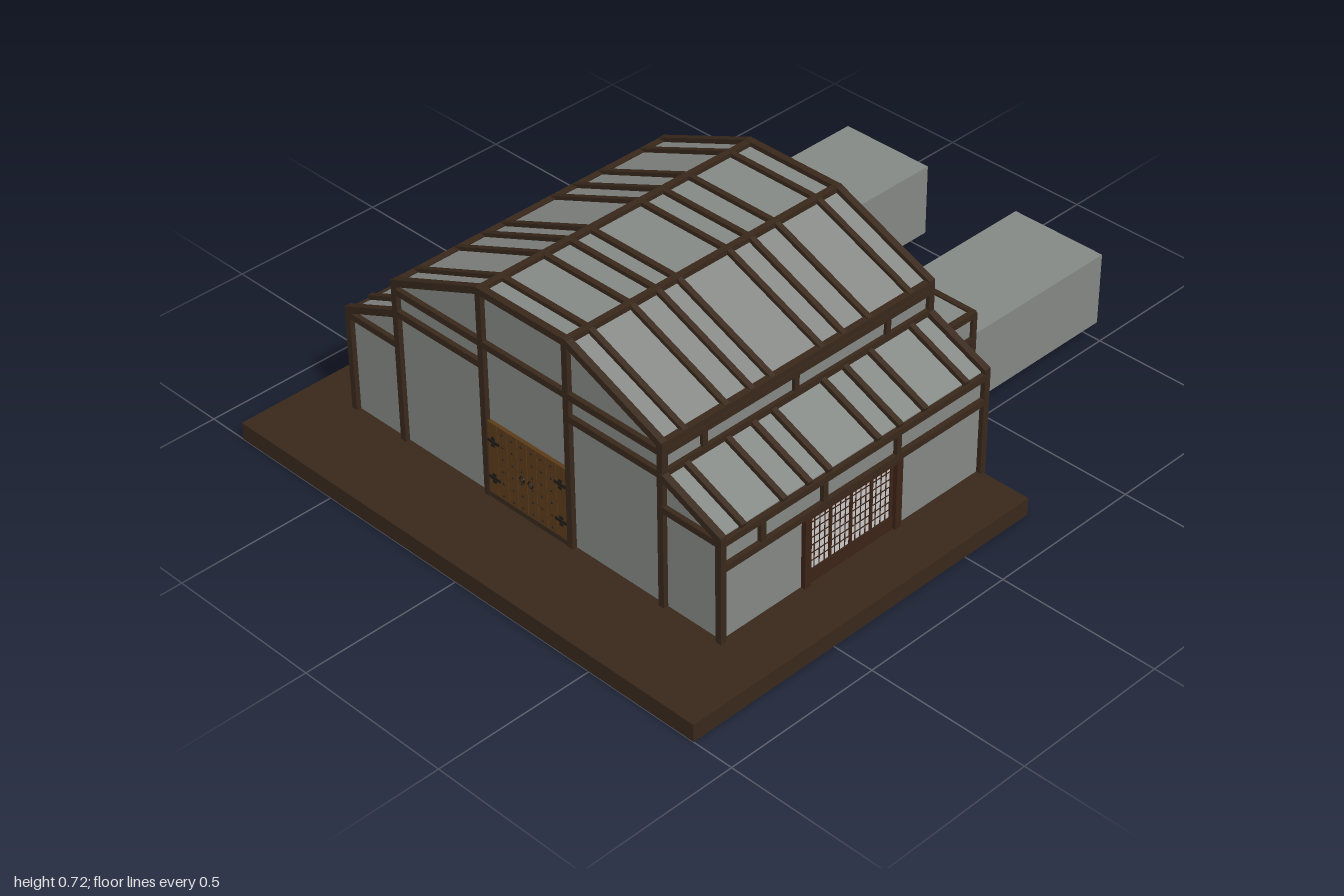
import * as THREE from 'three';

const mat = (color) => new THREE.MeshStandardMaterial({ color, flatShading: true, roughness: 0.9 });

export function createModel() {
  const root = new THREE.Group();
  const wood = mat(0x3a291c), plaster = mat(0x868a86), door = mat(0x5c3c1a);
  const frameWood = mat(0x3d2418), paper = mat(0xd8d4d4), iron = mat(0x1e1a17);
  const BASE = 0.055, FRONT = 0.733, BACK = -0.25;

  const group = (name) => {
    const g = new THREE.Group();
    g.name = name;
    root.add(g);
    return g;
  };
  // Box given by its two opposite corners
  const block = (parent, name, a, b, material) => {
    const size = a.map((v, i) => Math.abs(b[i] - v));
    const m = new THREE.Mesh(new THREE.BoxGeometry(...size), material);
    m.position.set(...a.map((v, i) => (v + b[i]) / 2));
    m.name = name;
    parent.add(m);
    return m;
  };
  // Square timber between two points
  const X = new THREE.Vector3(1, 0, 0);
  const beam = (parent, name, a, b, w = 0.02, material = wood) => {
    const p = new THREE.Vector3(...a), d = new THREE.Vector3(...b).sub(p);
    const m = new THREE.Mesh(new THREE.BoxGeometry(d.length() + w * 0.5, w, w), material);
    m.position.copy(p).addScaledVector(d, 0.5);
    m.quaternion.setFromUnitVectors(X, d.normalize());
    m.name = name;
    parent.add(m);
    return m;
  };
  const extrude = (parent, name, pts, depth, material) => {
    const shape = new THREE.Shape(pts.map(([x, y]) => new THREE.Vector2(x, y)));
    const m = new THREE.Mesh(new THREE.ExtrudeGeometry(shape, { depth, bevelEnabled: false }), material);
    m.name = name;
    parent.add(m);
    return m;
  };
  const mirrored = (half) => [...half, ...half.map(([x, y]) => [-x, y]).reverse()];

  // Platform, with a tongue under each rear annex
  const plan = mirrored([[0.87, -1], [0.87, 0.25], [0.5, 0.25], [0.5, 0.43], [0.16, 0.43], [0.16, 0.345]]);
  const platform = extrude(root, 'platform', plan, BASE, wood);
  platform.rotation.x = -Math.PI / 2;

  // Hall walls and stepped roof
  const section = mirrored([
    [0.695, BASE], [0.695, 0.383], [0.495, 0.468], [0.495, 0.568], [0.163, 0.705],
  ]);
  const hall = extrude(root, 'hallBody', section, FRONT - BACK - 0.01, plaster);
  hall.position.z = BACK + 0.005;

  // Timber frame of both gables
  const gables = group('gableFrames');
  for (const z of [FRONT, BACK]) {
    for (const s of [-1, 1]) {
      for (const [x, top] of [[0.7, 0.385], [0.497, 0.57], [0.16, 0.705]])
        beam(gables, 'gablePost', [s * x, BASE, z], [s * x, top, z]);
      beam(gables, 'aisleTie', [s * 0.5, 0.37, z], [s * 0.7, 0.37, z]);
      beam(gables, 'middleTie', [s * 0.16, 0.475, z], [s * 0.5, 0.475, z]);
    }
    beam(gables, 'upperTie', [-0.5, 0.545, z], [0.5, 0.545, z]);
  }

  // Rafters over the aisles, the slopes and the flat top
  const rafters = group('rafters');
  const rafterZ = [BACK, -0.172, -0.013, 0.083, 0.165, 0.347, 0.42, 0.512, 0.657, FRONT];
  rafterZ.forEach((z, i) => {
    const w = i === 0 || i === rafterZ.length - 1 ? 0.021 : 0.017;
    for (const s of [-1, 1]) {
      beam(rafters, 'aisleRafter', [s * 0.7, 0.386, z], [s * 0.5, 0.472, z], w);
      beam(rafters, 'upperRafter', [s * 0.497, 0.57, z], [s * 0.165, 0.709, z], w);
    }
    beam(rafters, 'topRafter', [-0.165, 0.709, z], [0.165, 0.709, z], w);
  });

  for (const s of [-1, 1]) {
    // Long timbers and studs along each side
    const side = group(s > 0 ? 'leftSideFrame' : 'rightSideFrame');
    for (const [x, y] of [[0.7, 0.29], [0.7, 0.37], [0.497, 0.478], [0.497, 0.543], [0.497, 0.565], [0.16, 0.708]])
      beam(side, 'longBeam', [s * x, y, BACK], [s * x, y, FRONT]);
    for (const z of [0.59, 0.365, 0.09])
      beam(side, 'lowerStud', [s * 0.7, 0.29, z], [s * 0.7, 0.37, z], 0.017);
    for (const z of [0.59, 0.26, -0.085])
      beam(side, 'clerestoryStud', [s * 0.497, 0.478, z], [s * 0.497, 0.543, z], 0.017);

    // Sliding lattice screen in the side wall
    const screen = group('sideScreen');
    const at = (y, z, d = 0) => [s * (0.698 + d), y, z];
    block(screen, 'paperPanel', at(0.1, 0.11, -0.02), at(0.28, 0.415), paper);
    block(screen, 'kickPanel', at(BASE, 0.1, -0.02), at(0.1, 0.425, 0.004), frameWood);
    for (const z of [0.085, 0.427]) beam(screen, 'screenPost', at(BASE, z), at(0.29, z), 0.023, frameWood);
    beam(screen, 'lintel', at(0.278, 0.09), at(0.278, 0.42), 0.018, frameWood);
    for (let i = 0; i <= 4; i++) {
      const z = 0.108 + i * 0.0765;
      beam(screen, 'leafStile', at(0.1, z), at(0.275, z), 0.009, frameWood);
      for (let j = 1; j < 4 && i < 4; j++)
        beam(screen, 'latticeBar', at(0.1, z + j * 0.019), at(0.275, z + j * 0.019), 0.003, frameWood);
    }
    for (let j = 1; j < 7; j++)
      beam(screen, 'latticeRail', at(0.1 + j * 0.025, 0.11), at(0.1 + j * 0.025, 0.415), 0.003, frameWood);

    // Rear annex with a flat roof
    const annex = group(s > 0 ? 'leftAnnex' : 'rightAnnex');
    const [inner, outer, rear] = [0.155, 0.493, -0.438];
    block(annex, 'annexBody', [s * inner, BASE, BACK + 0.01], [s * outer, 0.373, rear], plaster);
    for (const x of [inner, outer]) {
      beam(annex, 'annexPost', [s * x, BASE, rear], [s * x, 0.37, rear], 0.018);
      for (const y of [0.29, 0.37]) beam(annex, 'annexSideBeam', [s * x, y, BACK], [s * x, y, rear], 0.018);
      beam(annex, 'annexStud', [s * x, 0.29, -0.335], [s * x, 0.37, -0.335], 0.015);
    }
    for (const y of [0.29, 0.37]) beam(annex, 'annexRearBeam', [s * inner, y, rear], [s * outer, y, rear], 0.018);
    for (const x of [0.27, 0.38]) beam(annex, 'annexStud', [s * x, 0.29, rear], [s * x, 0.37, rear], 0.015);

    // Long plain passage behind the annex
    block(root, 'rearPassage', [s * 0.168, 0.057, -0.43], [s * 0.485, 0.288, -1], plaster);
  }

  // Low link between the annexes
  const link = group('rearLink');
  block(link, 'linkBody', [-0.155, BASE, BACK + 0.01], [0.155, 0.29, -0.343], plaster);
  beam(link, 'linkBeam', [-0.15, 0.283, -0.343], [0.15, 0.283, -0.343], 0.018);

  // Double front door with planks, straps, studs and ring handles
  const gate = group('frontDoor');
  const face = FRONT + 0.007;
  beam(gate, 'doorSill', [-0.15, 0.063, FRONT], [0.15, 0.063, FRONT], 0.016);
  for (const s of [-1, 1]) {
    for (let i = 0; i < 4; i++) {
      const x = 0.001 + i * 0.0373;
      block(gate, 'doorPlank', [s * x, 0.072, FRONT - 0.02], [s * (x + 0.0358), 0.303, face], door);
    }
    for (const y of [0.125, 0.245]) {
      block(gate, 'hingeStrap', [s * 0.105, y - 0.004, face], [s * 0.148, y + 0.004, face + 0.003], iron);
      for (const dy of [-0.011, 0.011])
        block(gate, 'hingeCurl', [s * 0.122, y + dy - 0.004, face], [s * 0.134, y + dy + 0.004, face + 0.003], iron);
    }
    for (const y of [0.085, 0.125, 0.165, 0.205, 0.245, 0.285])
      for (const x of [0.02, 0.055, 0.093]) {
        const stud = new THREE.Mesh(new THREE.SphereGeometry(0.0035, 6, 4), iron);
        stud.position.set(s * x, y, face);
        stud.name = 'doorStud';
        gate.add(stud);
      }
    const ring = new THREE.Mesh(new THREE.TorusGeometry(0.009, 0.002, 5, 12), iron);
    ring.position.set(s * 0.016, 0.183, face + 0.004);
    ring.name = 'ringHandle';
    gate.add(ring);
  }
  return root;
}
